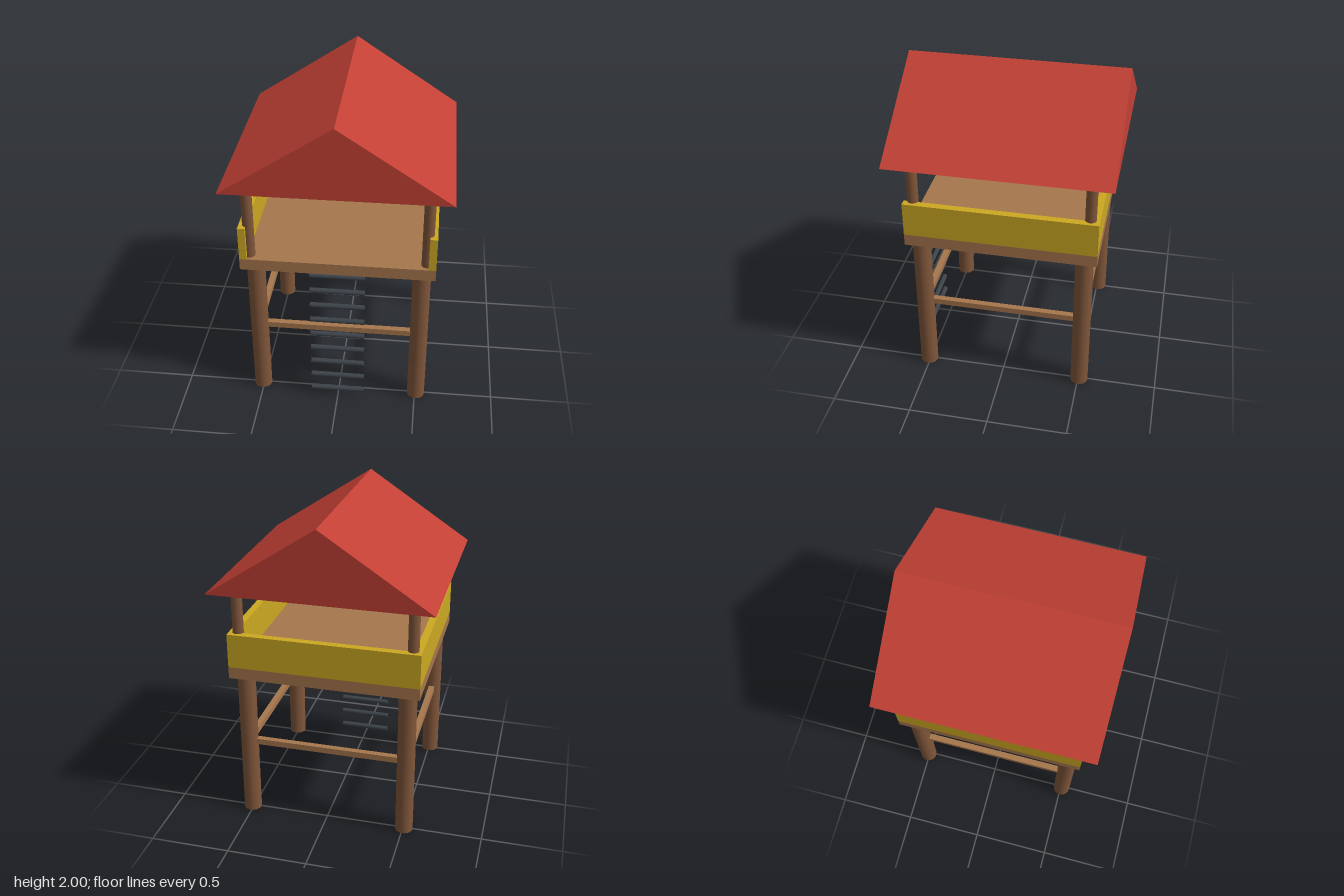
import * as THREE from 'three';

const mat = (name, color) => {
  const m = new THREE.MeshStandardMaterial({ color });
  m.name = name;
  return m;
};

export function createModel() {
  const group = new THREE.Group();
  const darkWood = mat('dark wood', 0x80563a);
  const lightWood = mat('light wood', 0xa6764c);
  const yellow = mat('yellow panel', 0xcba822);
  const red = mat('red roof', 0xc24035);
  const slate = mat('slate rung', 0x3c4349);

  const add = (name, geometry, material, x, y, z) => {
    const mesh = new THREE.Mesh(geometry, material);
    mesh.name = name;
    mesh.position.set(x, y, z);
    group.add(mesh);
    return mesh;
  };
  const box = (name, w, h, d, material, x, y, z) =>
    add(name, new THREE.BoxGeometry(w, h, d), material, x, y, z);

  // Legs below the deck and slimmer roof posts above it
  const leg = new THREE.CylinderGeometry(0.056, 0.056, 0.98, 24);
  const post = new THREE.CylinderGeometry(0.034, 0.034, 0.515, 20);
  for (const sx of [-1, 1]) {
    for (const sz of [-1, 1]) {
      add('leg', leg, darkWood, sx * 0.507, 0.49, sz * 0.507);
      add('roofPost', post, darkWood, sx * 0.535, 1.305, sz * 0.535);
    }
  }

  // Braces joining the legs
  for (const s of [-1, 1]) {
    box('crossBrace', 1.0, 0.038, 0.038, lightWood, 0, 0.511, s * 0.507);
    box('sideBrace', 0.038, 0.038, 1.0, lightWood, s * 0.507, 0.511, 0);
  }

  // Deck with panels on three sides, open at the front
  box('deck', 1.18, 0.075, 1.18, lightWood, 0, 1.0175, 0);
  for (const s of [-1, 1]) {
    box('sidePanel', 0.045, 0.217, 1.18, yellow, s * 0.5675, 1.1635, 0);
  }
  box('backPanel', 1.09, 0.217, 0.045, yellow, 0, 1.1635, -0.5675);

  // Ladder rungs
  const rung = new THREE.CylinderGeometry(0.0165, 0.0165, 0.338, 16).rotateZ(Math.PI / 2);
  for (let i = 0; i < 9; i++) {
    add('ladderRung', rung, slate, 0, 0.06 + i * 0.1127, 0.58);
  }

  // Solid gable roof
  const gable = new THREE.Shape([
    new THREE.Vector2(-0.675, 1.555),
    new THREE.Vector2(0.675, 1.555),
    new THREE.Vector2(0, 2),
  ]);
  const roof = new THREE.ExtrudeGeometry(gable, { depth: 1.35, bevelEnabled: false });
  add('roof', roof, red, 0, 0, -0.675);

  return group;
}
